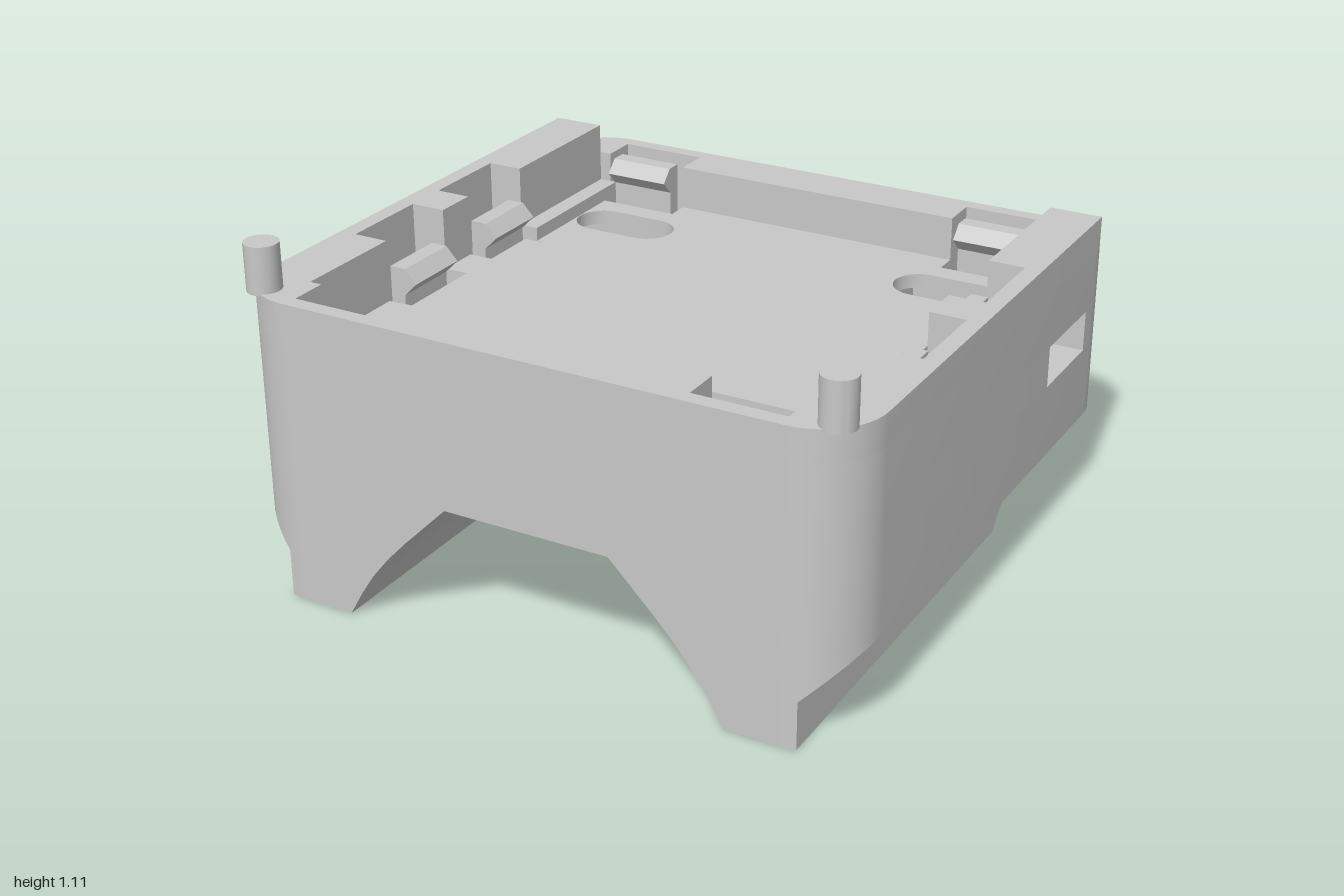
import * as THREE from 'three';
import { mergeGeometries, toCreasedNormals } from 'three/addons/utils/BufferGeometryUtils.js';

const grey = new THREE.MeshStandardMaterial({ color: 0xc8c8c8 });
grey.name = 'plain grey';

// heights of the main levels
const SHOULDER = 0.3, CEILING = 0.44, PORT0 = 0.545, PORT1 = 0.678;
const POCKET = 0.65, LOW = 0.725, MID = 0.77, LEDGE = 0.87, TOP = 0.968;

const V = (x, y) => new THREE.Vector2(x, y);
const rect = (x0, x1, z0, z1) => [[x0, z0], [x1, z0], [x1, z1], [x0, z1]];
const flipX = pts => pts.map(([x, z]) => [-x, z]);
const both = pts => [pts, flipX(pts)];
// full symmetric outline from its +x half
const full = half => [...half, ...flipX(half).reverse()];

// rounded corner from the front or back face towards the side, stopping at an angle
function corner(sign, stop = 0) {
  const pts = [];
  for (let i = 12; i >= 0; i--) {
    const a = Math.max(stop, i) * Math.PI / 24;
    pts.push([0.8 + 0.2 * Math.cos(a), sign * (0.78 + 0.2 * Math.sin(a))]);
  }
  return sign > 0 ? pts : pts.reverse();
}

function bare(geo) {
  const g = geo.index ? geo.toNonIndexed() : geo;
  g.deleteAttribute('uv');
  g.deleteAttribute('normal');
  return g;
}

// side walls joining rings of [x, z] points at the given heights
function loft(levels, rings) {
  const pos = [];
  for (let k = 0; k < rings.length - 1; k++) {
    const n = rings[k].length;
    const p = (r, m) => [rings[r][m][0], levels[r], rings[r][m][1]];
    for (let i = 0; i < n; i++) {
      const j = (i + 1) % n;
      pos.push(...p(k, i), ...p(k, j), ...p(k + 1, j), ...p(k, i), ...p(k + 1, j), ...p(k + 1, i));
    }
  }
  const geo = new THREE.BufferGeometry();
  return geo.setAttribute('position', new THREE.Float32BufferAttribute(pos, 3));
}

// upright walls along an outline, facing out of it or into it
function walls(pts, y0, y1, inward = false) {
  const clockwise = THREE.ShapeUtils.isClockWise(pts.map(p => V(...p)));
  const ring = clockwise === inward ? [...pts].reverse() : pts;
  return loft([y0, y1], [ring, ring]);
}
const pocket = (pts, y0, y1) => walls(pts, y0, y1, true);

// level face, side = 1 facing up or -1 facing down
function flat(pts, y, side = 1, holes = []) {
  const toV = list => list.map(([x, z]) => V(x, -side * z));
  const shape = new THREE.Shape(toV(pts));
  holes.forEach(h => shape.holes.push(new THREE.Path(toV(h))));
  return bare(new THREE.ShapeGeometry(shape).rotateX(-side * Math.PI / 2).translate(0, y, 0));
}

// mirrored copy with its triangles turned round
function mirror(geo) {
  const g = geo.clone().scale(-1, 1, 1), p = g.attributes.position;
  for (let i = 0; i < p.count; i += 3) {
    const b = [p.getX(i + 1), p.getY(i + 1), p.getZ(i + 1)];
    p.setXYZ(i + 1, p.getX(i + 2), p.getY(i + 2), p.getZ(i + 2));
    p.setXYZ(i + 2, ...b);
  }
  return g;
}

// arch half-width at a height
const ARCH = [[0, 0.63], [0.08, 0.585], [0.15, 0.54], [0.225, 0.48], [0.3, 0.41], [0.44, 0.27]];
function arch(y) {
  const i = Math.max(1, ARCH.findIndex(a => y <= a[0]));
  const [y0, x0] = ARCH[i - 1], [y1, x1] = ARCH[i];
  return x0 + (x1 - x0) * (y - y0) / (y1 - y0);
}

export function createModel() {
  const group = new THREE.Group();
  const add = (name, geo, crease = 0.5) => {
    const mesh = new THREE.Mesh(toCreasedNormals(geo, crease), grey);
    mesh.name = name;
    group.add(mesh);
    return mesh;
  };

  // outer shell with a port in each side
  const outline = full([...corner(1), ...corner(-1)]);
  const port = rect(0.41, 1, -0.725, -0.412);
  const notched = full([...corner(1), [1, -0.412], [0.41, -0.412], [0.41, -0.725], [1, -0.725], ...corner(-1)]);
  const oval = [];
  for (let i = 0; i < 32; i++) {
    const a = (i + 0.5) / 32 * Math.PI * 2;
    oval.push([0.59 + Math.sign(Math.cos(a)) * 0.087 + 0.09 * Math.cos(a), -0.57 + 0.09 * Math.sin(a)]);
  }
  const shoulder = mergeGeometries([
    loft([SHOULDER, CEILING], [SHOULDER, CEILING].map(
      y => [[arch(y), 0.98], ...corner(1), ...corner(-1), [arch(y), -0.98]])),
    flat([[0.41, -0.71], [1, -0.71], ...corner(-1), [0.41, -0.98]], SHOULDER, -1),
  ]);
  add('shell', mergeGeometries([
    shoulder, mirror(shoulder),
    flat(rect(-0.27, 0.27, -0.98, 0.98), CEILING, -1),
    walls(outline, CEILING, PORT0),
    walls(notched, PORT0, PORT1),
    walls(outline, PORT1, LEDGE),
    ...both(port).map(p => flat(p, PORT0)),
    ...both(port).map((p, i) => flat(p, PORT1, -1, [both(oval)[i]])),
  ]));

  // rim, lower along the back
  const inner = [[0.5, 0.81], [0.5, 0.93], [0.79, 0.93], [0.79, 0.81], [0.83, 0.81], [0.83, 0.44], [0.945, 0.44],
    [0.945, 0.14], [0.83, 0.14], [0.83, 0], [0.945, 0], [0.945, -0.3], [0.83, -0.3], [0.83, -0.81]];
  const clipCut = [[0.79, -0.81], [0.79, -0.93], [0.5, -0.93], [0.5, -0.81]];
  const outer = [...corner(1), [1, -0.81]];
  const rim = [...flipX(outer).reverse(), ...outer, ...[...inner].reverse(), ...flipX(inner)];
  add('rim', mergeGeometries([
    walls(rim, LEDGE, TOP),
    flat(rim, TOP),
    flat(full([...[...clipCut].reverse(), [1, -0.81], ...corner(-1)]), LEDGE),
    pocket(full([...inner, ...clipCut]), MID, LEDGE),
  ]));

  // tray: stepped floors and clip pockets
  const frontClip = rect(0.5, 0.79, 0.73, 0.93), backClip = rect(0.5, 0.79, -0.93, -0.735);
  const frontSide = rect(0.75, 0.945, 0.14, 0.44), backSide = rect(0.75, 0.945, -0.3, 0);
  const frontWell = full([[0.5, 0.81], [0.5, 0.93], [0.79, 0.93], [0.79, 0.73], [0.77, 0.73], [0.77, 0.53]]);
  const backWell = full([[0.75, -0.2], [0.75, 0], [0.945, 0], [0.945, -0.3], [0.77, -0.3], [0.77, -0.735],
    [0.79, -0.735], [0.79, -0.93], [0.5, -0.93], [0.5, -0.81]]);
  // half outline of the raised middle floor with its side strips
  const midFloor = full([[0.77, 0.53], [0.77, 0.73], [0.79, 0.73], [0.79, 0.81], [0.83, 0.81], [0.83, 0.44],
    [0.75, 0.44], [0.75, 0.14], [0.83, 0.14], [0.83, 0], [0.75, 0], [0.75, -0.2]]);
  const frontFloor = full([[0.5, 0.81], [0.5, 0.73], [0.77, 0.73], [0.77, 0.53]]);
  const backFloor = full([[0.75, -0.2], [0.75, -0.3], [0.77, -0.3], [0.77, -0.735], [0.5, -0.735], [0.5, -0.81]]);
  add('tray', mergeGeometries([
    flat(midFloor, MID),
    flat(frontFloor, LOW),
    flat(backFloor, LOW, 1, both(oval)),
    pocket(frontWell, LOW, MID),
    pocket(backWell, LOW, MID),
    ...both(rect(0.77, 0.83, -0.81, -0.3)).map(p => flat(p, MID)),
    ...both(oval).map(p => pocket(p, PORT1, LOW)),
    ...both(frontSide).map(p => pocket(p, LOW, MID)),
    ...[frontClip, backClip, frontSide, backSide].flatMap(both)
      .flatMap(p => [flat(p, POCKET), pocket(p, POCKET, LOW)]),
  ]));

  // legs: arched inside, chamfered outside, sloped at the back, slotted below
  const steps = [0, 0.04, 0.08, 0.115].map(y => [y, 10]);
  for (let i = 10; i >= 0; i--) steps.push([0.1 + 0.2 * Math.cos(i * Math.PI / 24), i]);
  const rings = steps.map(([y, stop]) => {
    const side = 0.8 + 0.2 * Math.cos(stop * Math.PI / 24), back = -0.41 - y;
    return [[arch(y), 0.98], ...corner(1, stop), [side, back], [arch(y), back]];
  });
  const slot = rect(0.7, 0.78, 0.13, 0.89);
  const leg = mergeGeometries([
    loft(steps.map(s => s[0]), rings),
    flat(rings[0], 0, -1, [slot]),
    pocket(slot, 0, 0.1),
    flat(slot, 0.1, -1),
  ]);
  add('leftLeg', leg);
  add('rightLeg', mirror(leg));

  // locating pins
  for (const s of [1, -1]) {
    const pin = new THREE.CylinderGeometry(0.053, 0.053, 0.15, 28);
    add('pin', pin.translate(s * 0.918, 1.037, 0.908));
  }

  // hooked clips
  const hook = new THREE.Shape([[0, POCKET], [0.05, POCKET], [0.05, 0.78], [0.095, 0.825], [0.055, 0.868], [0, 0.868]]
    .map(p => V(...p)));
  const clip = new THREE.ExtrudeGeometry(hook, { depth: 0.22, bevelEnabled: false }).translate(0, 0, -0.11);
  const place = (x, z, turn) => {
    const mesh = add('clip', clip.clone(), 0.3);
    mesh.position.set(x, 0, z);
    mesh.rotation.y = turn;
  };
  for (const s of [1, -1]) {
    place(s * 0.645, 0.83, Math.PI / 2);
    place(s * 0.645, -0.835, -Math.PI / 2);
    for (const z of [-0.15, 0.29]) place(s * 0.85, z, s > 0 ? Math.PI : 0);
  }
  return group;
}
